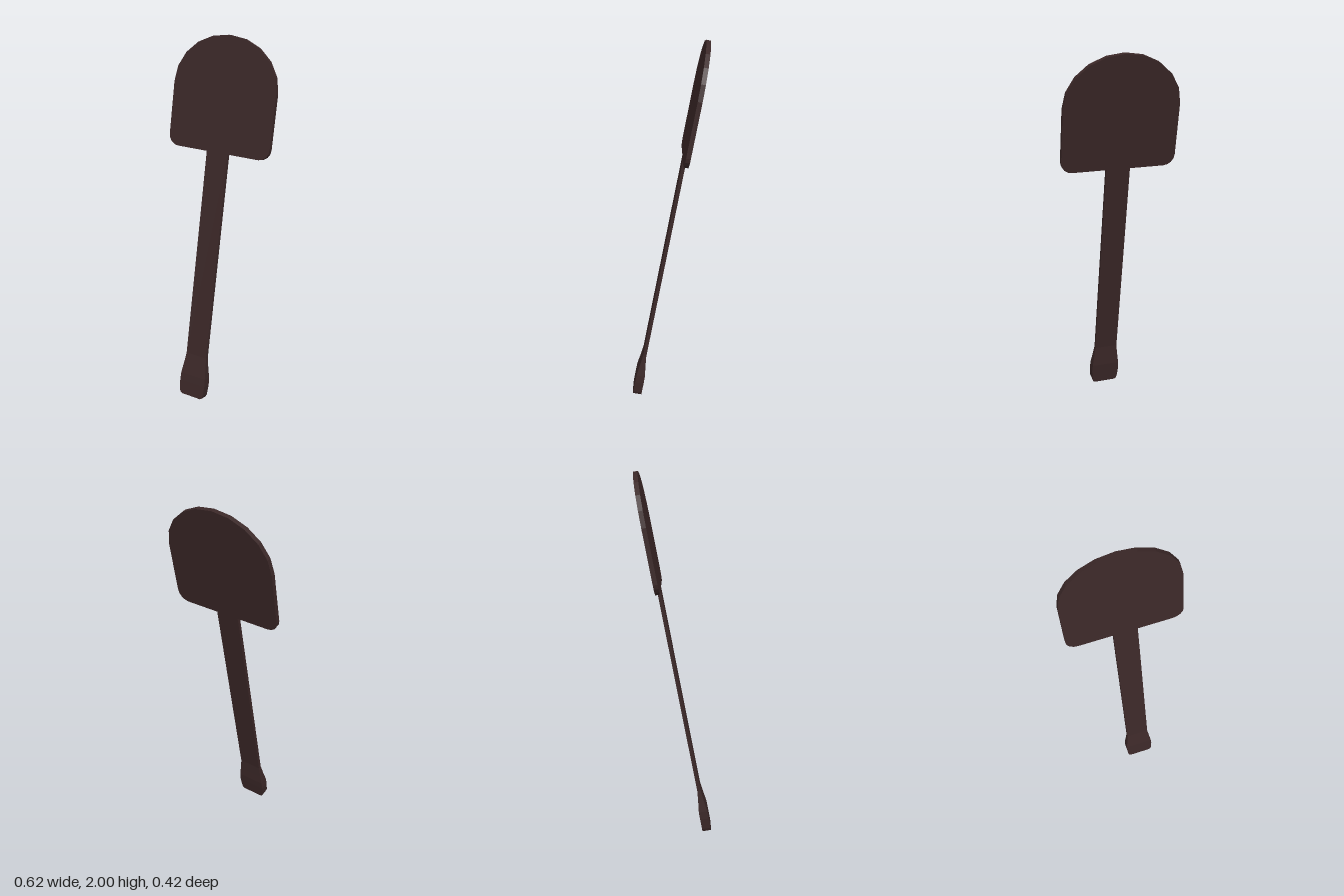
import * as THREE from 'three';

export function createModel() {
  const model = new THREE.Group();
  model.name = 'spatula';
  const darkBrown = new THREE.MeshStandardMaterial({ color: 0x3a2727 });
  darkBrown.name = 'darkBrown';

  // All parts are built upright, then leaned back together
  const tool = new THREE.Group();
  tool.name = 'leaningTool';
  tool.position.set(0, 1, -0.0055);
  tool.rotation.x = -THREE.MathUtils.degToRad(11);
  model.add(tool);

  const add = (name, geometry) => {
    const mesh = new THREE.Mesh(geometry, darkBrown);
    mesh.name = name;
    tool.add(mesh);
    return mesh;
  };

  // Blade: arched top, straight sides, small rounded lower corners
  const halfW = 0.31, low = 0.398, shoulder = 0.744, arch = 0.273, r = 0.06, depth = 0.024;
  const points = [];
  const arc = (cx, cy, rx, ry, from, to, steps) => {
    for (let i = 0; i <= steps; i++) {
      const a = THREE.MathUtils.degToRad(from + (to - from) * i / steps);
      points.push(new THREE.Vector2(cx + rx * Math.cos(a), cy + ry * Math.sin(a)));
    }
  };
  arc(0, shoulder, halfW, arch, 0, 180, 10);
  arc(-halfW + r, low + r, r, r, 180, 270, 4);
  arc(halfW - r, low + r, r, r, 270, 360, 4);
  const blade = new THREE.ExtrudeGeometry(new THREE.Shape(points), { depth, bevelEnabled: false });
  blade.translate(0, 0, -depth / 2);
  add('blade', blade);

  // Handle: thin flat bar running into the blade
  const bottom = -0.766, top = 0.42;
  add('handle', new THREE.BoxGeometry(0.13, top - bottom, 0.019))
    .position.y = (top + bottom) / 2;

  // Grip: box rows reshaped to [height, half width, half thickness]
  const rows = [
    [-1.0105, 0.06, 0.0245], [-1.005, 0.07, 0.0245], [-0.99, 0.076, 0.0245],
    [-0.93, 0.081, 0.0245], [-0.886, 0.079, 0.024], [-0.83, 0.072, 0.0165],
    [-0.766, 0.065, 0.0095],
  ];
  const steps = rows.length - 1;
  const box = new THREE.BoxGeometry(2, 1, 2, 1, steps, 1);
  const pos = box.attributes.position;
  for (let i = 0; i < pos.count; i++) {
    const [y, w, t] = rows[Math.round((pos.getY(i) + 0.5) * steps)];
    pos.setXYZ(i, pos.getX(i) * w, y, pos.getZ(i) * t);
  }
  const grip = box.toNonIndexed();
  grip.computeVertexNormals();
  add('grip', grip);

  return model;
}
